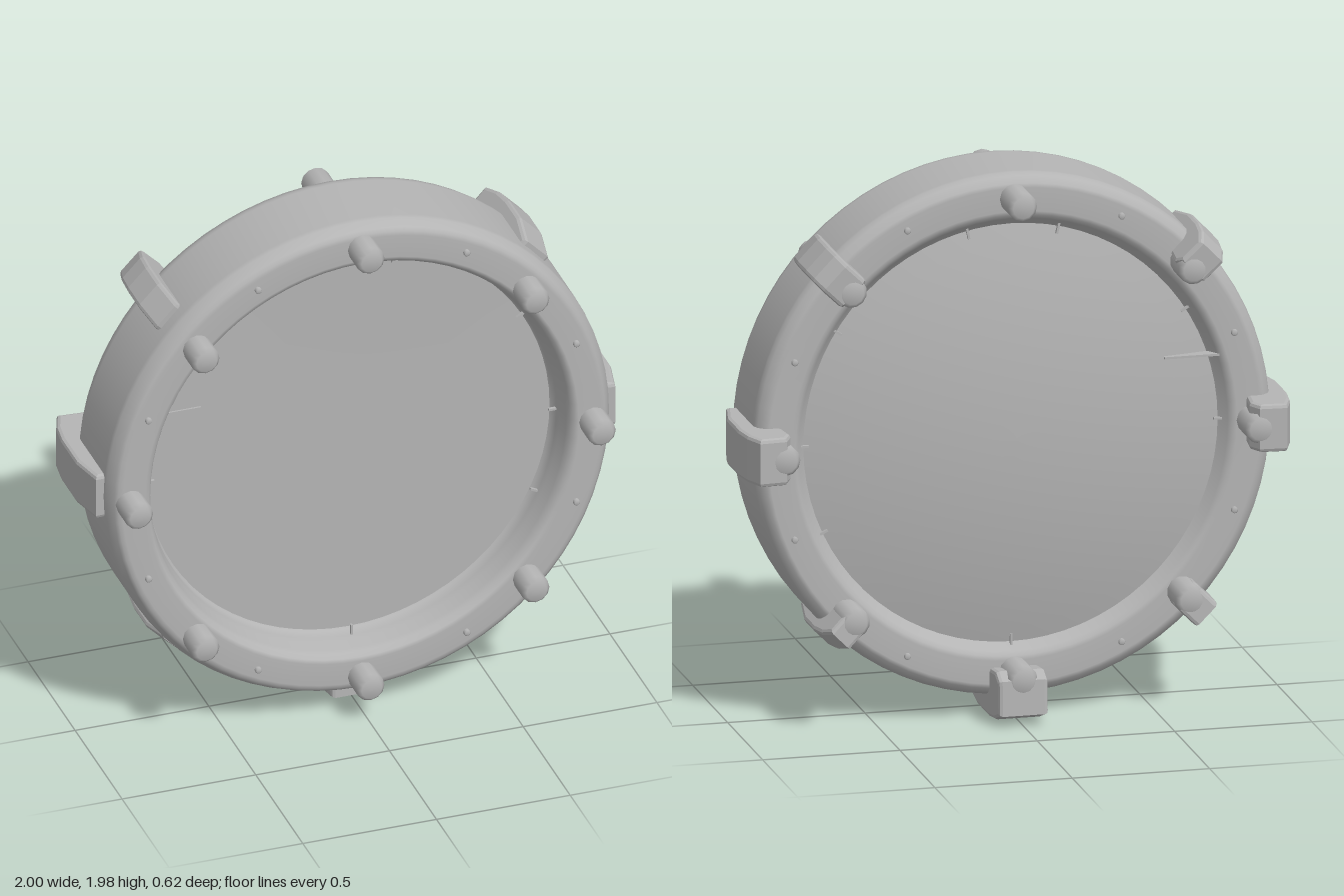
import * as THREE from 'three';

const CY = 1.028; // height of the ring centre

export function createModel() {
  const model = new THREE.Group();
  const wheel = new THREE.Group();
  wheel.name = 'porthole';
  wheel.position.y = CY;
  model.add(wheel);

  const grey = new THREE.MeshStandardMaterial({ color: 0xb4b4b4 });
  grey.name = 'grey metal';

  const add = (name, geometry, parent = wheel) => {
    const mesh = new THREE.Mesh(geometry, grey);
    mesh.name = name;
    parent.add(mesh);
    return mesh;
  };
  // Lathe whose axis points to the front; points are [radius, z]
  const lathe = (points, segments) =>
    new THREE.LatheGeometry(points.map(([r, z]) => new THREE.Vector2(r, z)), segments).rotateX(Math.PI / 2);
  // The ring and pane are a touch taller than wide
  const oval = (points) => lathe(points, 72).scale(0.995, 1.01, 1);

  // Heavy ring with a flat face, narrow bevels and a stepped inner lip
  add('ring', oval([
    [0.74, -0.1], [0.765, -0.122], [0.785, -0.155], [0.8, -0.167], [0.815, -0.172], [0.9, -0.172], [0.915, -0.169],
    [0.938, -0.148], [0.946, -0.125], [0.947, -0.11], [0.947, 0.14], [0.945, 0.16], [0.927, 0.195], [0.915, 0.204],
    [0.9, 0.208], [0.815, 0.208], [0.8, 0.204], [0.788, 0.185], [0.782, 0.165], [0.774, 0.12], [0.768, 0.1],
    [0.765, 0.06], [0.74, 0.045],
  ]));

  // Pane: almost flat in front, domed at the back
  const dome = [];
  for (let i = 0; i <= 10; i++) {
    const r = 0.77 * i / 10;
    dome.push([r, -0.205 + 0.155 * r * r]);
  }
  add('paneBack', oval(dome)).position.y = -0.008;
  add('paneFront', oval([[0.766, 0.056], [0.5, 0.054], [0.2, 0.052], [0, 0.052]])).position.y = -0.008;

  // Sliver through the pane near its edge
  add('paneCrack', new THREE.BoxGeometry(0.2, 0.008, 0.225)).position.set(-0.65, 0.243, -0.05);

  // Bolt with a softened cap, standing from z0 towards z1
  const bolt = (name, radius, z0, z1, parent, x, y) => {
    const h = Math.abs(z1 - z0), c = radius * 0.3;
    const g = lathe([[radius, 0], [radius, h - c], [radius * 0.72, h], [0, h]], 12);
    if (z1 < z0) g.rotateY(Math.PI);
    add(name, g, parent).position.set(x, y, z0);
  };

  // Front bolts
  const boltSpots = [
    [0, 0.872], [0, -0.882], [0.865, -0.006], [-0.865, -0.006],
    [0.617, 0.584], [-0.617, 0.584], [0.617, -0.602], [-0.617, -0.602],
  ];
  for (const [x, y] of boltSpots) bolt('frontBolt', 0.053, 0.19, 0.312, wheel, x, y);
  bolt('backBolt', 0.053, -0.15, -0.305, wheel, 0, 0.87);

  // Small rivets between the bolts on both faces
  for (const [x, y] of [[0.39, 0.78], [0.8, 0.325]]) {
    for (const sx of [1, -1]) {
      for (const sy of [1, -1]) {
        bolt('frontRivet', 0.012, 0.2, 0.222, wheel, sx * x, sy * y);
        bolt('backRivet', 0.012, -0.16, -0.184, wheel, sx * x, sy * y);
      }
    }
  }

  // Clamps gripping the rim: an outer strap, a hook behind, and a rounded hook end
  const clamp = (degrees, width, reach, front) => {
    const group = new THREE.Group();
    group.name = 'clamp';
    group.rotation.z = degrees * Math.PI / 180;
    wheel.add(group);
    const bevel = 0.014;
    const profile = new THREE.Shape([
      [0.91, front - 0.016], [reach - 0.04, front - 0.014], [reach - 0.014, front - 0.13], [reach - 0.014, -0.15],
      [reach - 0.025, -0.23], [reach - 0.05, -0.296], [0.87, -0.29], [0.85, -0.25], [0.86, -0.16], [0.91, -0.14],
    ].map(([r, z]) => new THREE.Vector2(r, z)));
    const depth = width - 2 * bevel;
    const g = new THREE.ExtrudeGeometry(profile, {
      depth, bevelEnabled: true, bevelSize: bevel, bevelThickness: bevel, bevelSegments: 2,
    });
    g.translate(0, 0, -depth / 2).rotateX(Math.PI / 2);
    add('strap', g, group);
    bolt('hookEnd', 0.055, -0.15, -0.308, group, 0.864, 0);
  };
  clamp(0, 0.175, 1.0, 0.14);
  clamp(180, 0.175, 1.0, 0.14);
  clamp(270, 0.18, 1.028, 0.14);
  clamp(44, 0.13, 0.995, 0.1);
  clamp(136, 0.12, 0.995, 0.1);
  clamp(225, 0.11, 0.985, 0.11);
  clamp(315, 0.1, 0.985, 0.11);

  // Slim pins holding the pane inside the ring
  for (const degrees of [0, 33, 78, 103, 147, 180, 270, 335]) {
    const a = degrees * Math.PI / 180;
    const pin = add('panePin', new THREE.BoxGeometry(0.04, 0.008, 0.012));
    pin.position.set(0.757 * Math.cos(a), 0.757 * Math.sin(a), 0.095);
    pin.rotation.z = a;
    const backPin = pin.clone();
    backPin.position.z = -0.125;
    wheel.add(backPin);
  }
  return model;
}
